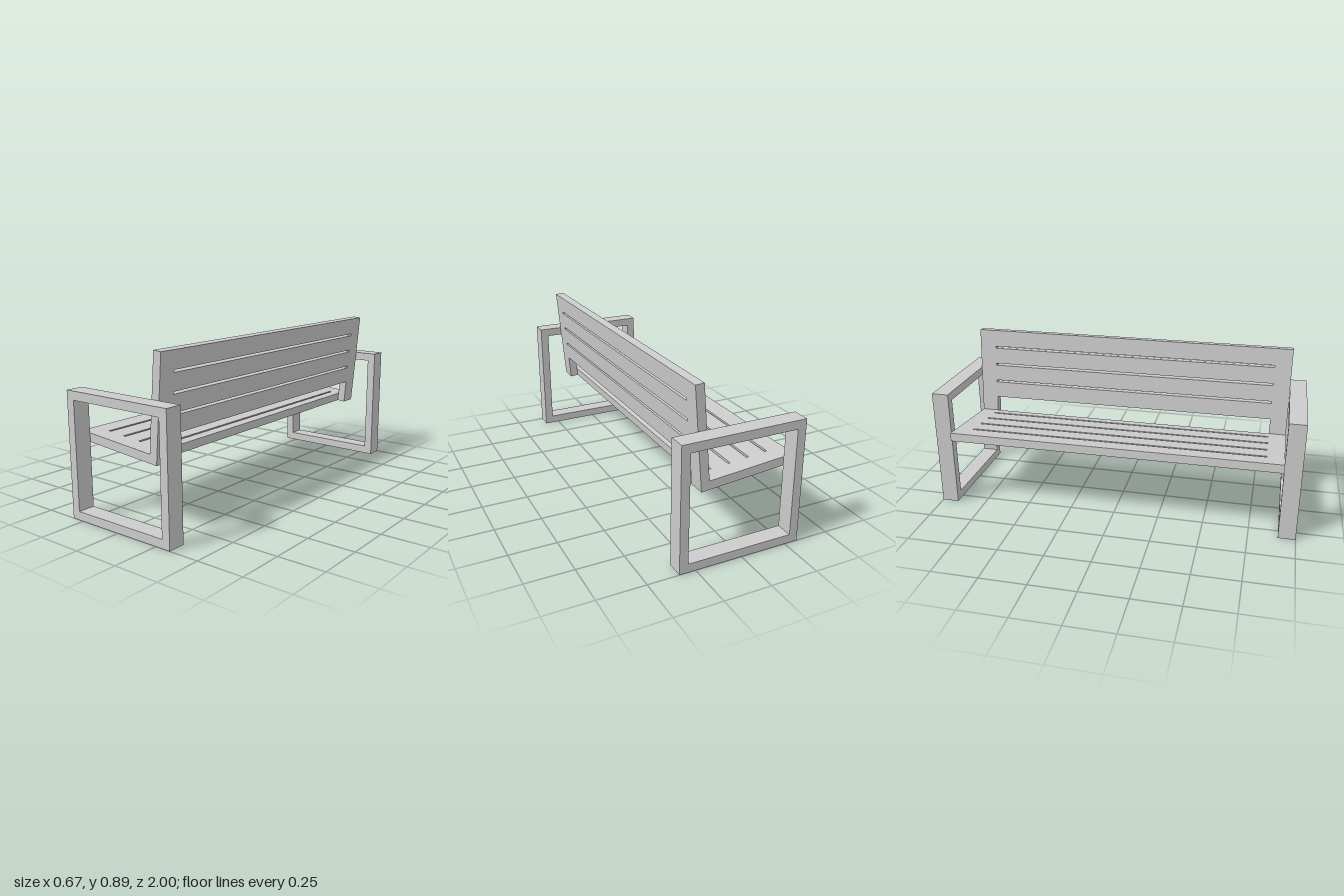
import * as THREE from 'three';

const material = new THREE.MeshStandardMaterial({ color: 0xcccccc });
const THICK = 0.046;   // board and frame bar thickness
const HALF = 0.908;    // half length of seat and back
const SLOT = 0.815;    // half length of the slots
const GAP = 0.012;     // slot width
const TILT = THREE.MathUtils.degToRad(4.9);

const points = (list) => list.map(([x, y]) => new THREE.Vector2(x, y));
const rect = (x0, y0, x1, y1) => points([[x0, y0], [x1, y0], [x1, y1], [x0, y1]]);

// Flat panel from an outline and a list of rectangular openings
function panel(outline, holes, depth) {
  const shape = new THREE.Shape(outline);
  holes.forEach((h) => shape.holes.push(new THREE.Path(h)));
  return new THREE.ExtrudeGeometry(shape, { depth, bevelEnabled: false });
}

const slots = (centres) => centres.map((c) => rect(-SLOT, c - GAP / 2, SLOT, c + GAP / 2));

function part(name, geometry) {
  const mesh = new THREE.Mesh(geometry, material);
  mesh.name = name;
  return mesh;
}

export function createModel() {
  const model = new THREE.Group();
  model.name = 'bench';

  // Square end frames serving as legs and armrests
  for (const [name, z] of [['leftEndFrame', HALF], ['rightEndFrame', -1]]) {
    const geometry = panel(rect(-0.321, 0, 0.336, 0.658), [rect(-0.275, THICK, 0.29, 0.612)], 1 - HALF);
    const frame = part(name, geometry);
    frame.position.z = z;
    model.add(frame);
  }

  // Seat and back meet at a right angle and lean back together
  const body = new THREE.Group();
  body.name = 'seatAndBack';
  body.position.set(0.178, 0.346, 0);
  body.rotation.z = -TILT;
  model.add(body);

  // Seat: five slats between four slots
  const seatDepth = 0.517;
  const seatSlots = [0, 1, 2, 3].map((i) => seatDepth - 0.0985 - i * 0.105);
  const seat = panel(rect(-HALF, THICK, HALF, seatDepth), slots(seatSlots), THICK);
  seat.rotateX(-Math.PI / 2).rotateY(Math.PI / 2);
  body.add(part('seat', seat));

  // Back: four slats, with a post at each end reaching down past the seat
  const backHeight = 0.538, backBottom = 0.132;
  const outline = points([
    [-HALF, 0], [-SLOT, 0], [-SLOT, backBottom], [SLOT, backBottom],
    [SLOT, 0], [HALF, 0], [HALF, backHeight], [-HALF, backHeight],
  ]);
  const backSlots = [0, 1, 2].map((i) => backHeight - 0.101 - i * 0.1035);
  const back = panel(outline, slots(backSlots), THICK);
  back.rotateY(Math.PI / 2).translate(-THICK, 0, 0);
  body.add(part('backrest', back));

  return model;
}
